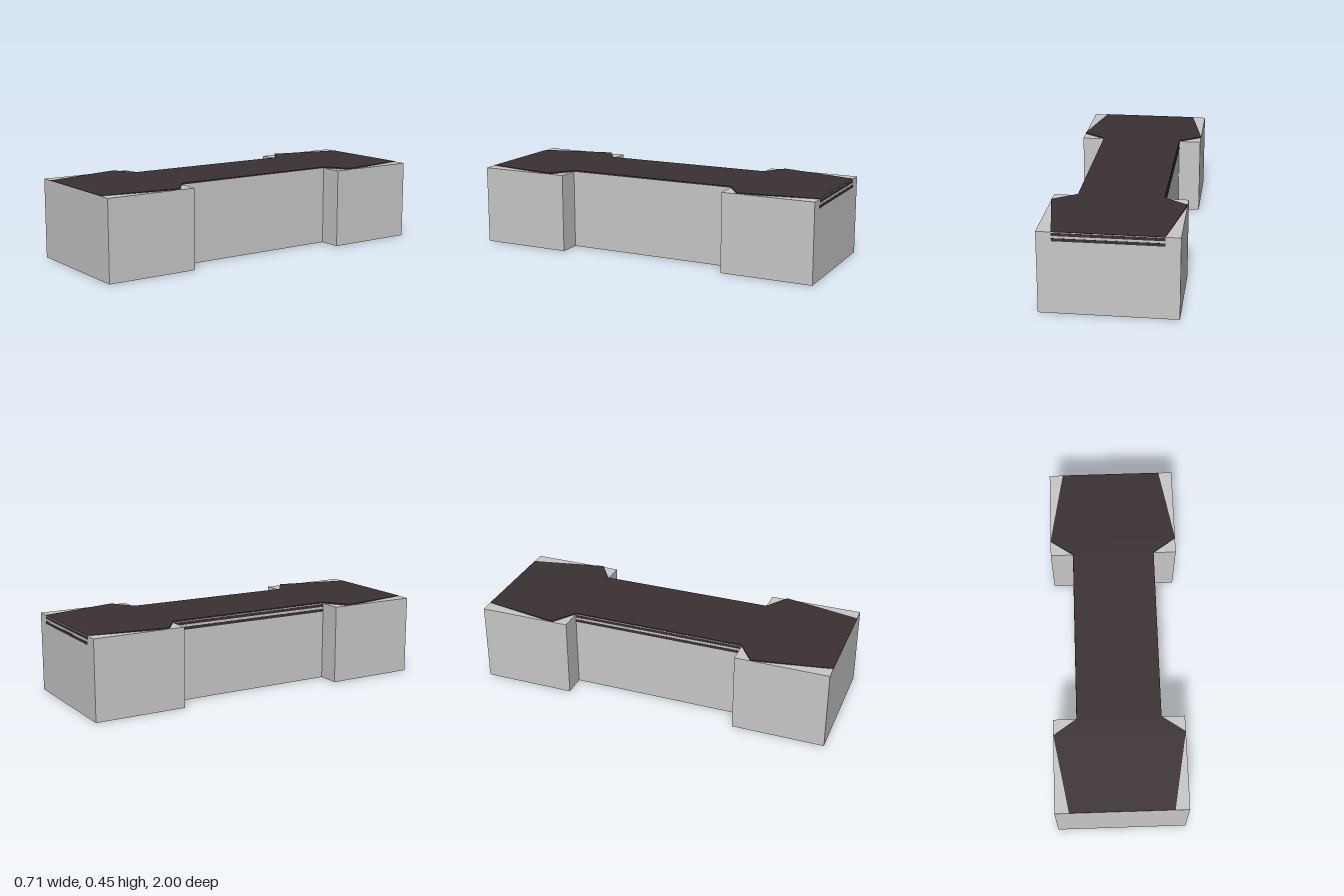
import * as THREE from 'three';

// Flat-shaded slab lofted along rising z from stations [z, halfWidth, bottom, top]
function loftSlab(stations) {
  const pos = [];
  const quad = (a, b, c, d) => pos.push(...a, ...b, ...c, ...a, ...c, ...d);
  const rings = stations.map(([z, w, b, t]) => [[-w, b, z], [w, b, z], [w, t, z], [-w, t, z]]);
  for (let i = 0; i < rings.length - 1; i++) {
    const p = rings[i], q = rings[i + 1];
    for (let k = 0; k < 4; k++) {
      const n = (k + 1) % 4;
      quad(p[k], p[n], q[n], q[k]);
    }
  }
  const first = rings[0], last = rings[rings.length - 1];
  quad(first[3], first[2], first[1], first[0]);
  quad(last[0], last[1], last[2], last[3]);
  const geo = new THREE.BufferGeometry();
  geo.setAttribute('position', new THREE.Float32BufferAttribute(pos, 3));
  geo.computeVertexNormals();
  return geo;
}

export function createModel() {
  const group = new THREE.Group();
  const grey = new THREE.MeshStandardMaterial({ color: 0xc8c8c8 });
  grey.name = 'light grey';
  const dark = new THREE.MeshStandardMaterial({ color: 0x3b3132 });
  dark.name = 'dark brown';

  const add = (name, geo, mat, x = 0, y = 0, z = 0) => {
    const mesh = new THREE.Mesh(geo, mat);
    mesh.name = name;
    mesh.position.set(x, y, z);
    group.add(mesh);
  };

  const top = 0.44, base = 0.001, endW = 0.357, barW = 0.23, inner = 0.487;
  const height = top - base, midY = (top + base) / 2;

  // Body: narrow bar between two wide end blocks
  add('centreBar', new THREE.BoxGeometry(barW * 2, height, inner * 2), grey, 0, midY, 0);
  for (const s of [1, -1]) {
    const side = s > 0 ? 'front' : 'back';
    add(side + 'EndBlock', new THREE.BoxGeometry(endW * 2, height, 1 - inner), grey,
      0, midY, s * (1 + inner) / 2);

    // Underside pad
    const pad = [[0.536, 0.29], [0.645, 0.317], [0.853, 0.21]].map(([z, w]) => [s * z, w, 0, 0.006]);
    add(side + 'Pad', loftSlab(s > 0 ? pad : pad.reverse()), dark);
  }

  // Top plate: flared ends that taper and dip slightly toward the tips
  const half = [[inner, barW, 0.447], [0.575, endW, 0.447], [1, 0.28, 0.442]];
  const stations = [
    ...half.map(([z, w, t]) => [-z, w, top - 0.001, t]).reverse(),
    ...half.map(([z, w, t]) => [z, w, top - 0.001, t]),
  ];
  add('topPlate', loftSlab(stations), dark);

  // Paired stripes under the plate, on the back end and the -x side of the bar
  for (const y of [0.428, 0.4]) {
    add('backStripe', new THREE.BoxGeometry(0.56, 0.016, 0.002), dark, 0, y, -1);
    add('sideStripe', new THREE.BoxGeometry(0.002, 0.016, inner * 2), dark, -barW, y, 0);
  }
  return group;
}
